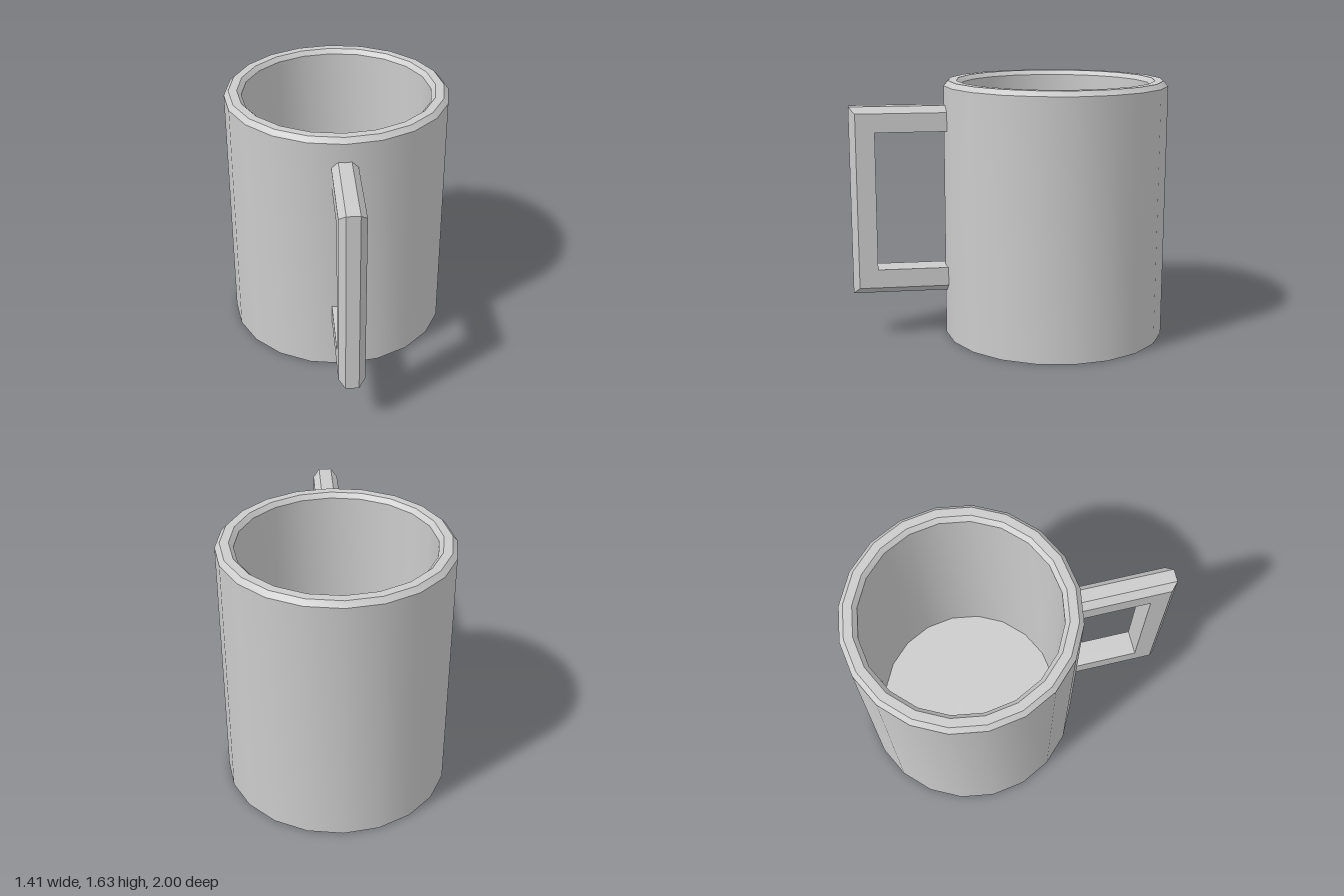
import * as THREE from 'three';
import { toCreasedNormals } from 'three/addons/utils/BufferGeometryUtils.js';

const material = new THREE.MeshStandardMaterial({ color: 0xcccccc });

// Hollow 20-sided cup with a chamfered rim
function makeCup() {
  const profile = [
    [0, 0], [0.705, 0], [0.705, 1.605], [0.676, 1.635],
    [0.623, 1.635], [0.596, 1.607], [0.596, 0.11], [0, 0.11],
  ].map(([r, y]) => new THREE.Vector2(r, y));
  const cup = new THREE.Mesh(toCreasedNormals(new THREE.LatheGeometry(profile, 20), 0.5), material);
  cup.name = 'cup';
  cup.position.z = -0.295;
  return cup;
}

// Square handle: a chamfered section swept round two mitred corners
function makeHandle() {
  const top = 1.486, bottom = 0.297, front = 1, root = 0.36, thick = 0.158;
  // Section points: x and depth below the outer face
  const section = [
    [-0.08, thick], [-0.08, 0.04], [-0.04, 0],
    [0.04, 0], [0.08, 0.04], [0.08, thick],
  ];
  const rings = [
    (d) => [top - d, root], (d) => [top - d, front - d],
    (d) => [bottom + d, front - d], (d) => [bottom + d, root],
  ].map((at) => section.map(([x, d]) => [x, ...at(d)]));

  const positions = [];
  const n = section.length;
  for (let i = 0; i < rings.length - 1; i++) {
    for (let j = 0; j < n; j++) {
      const k = (j + 1) % n;
      const a = rings[i][j], b = rings[i][k], c = rings[i + 1][k], d = rings[i + 1][j];
      positions.push(...a, ...d, ...b, ...b, ...d, ...c);
    }
  }
  const geometry = new THREE.BufferGeometry();
  geometry.setAttribute('position', new THREE.Float32BufferAttribute(positions, 3));
  geometry.computeVertexNormals();
  const handle = new THREE.Mesh(geometry, material);
  handle.name = 'handle';
  return handle;
}

export function createModel() {
  const mug = new THREE.Group();
  mug.name = 'mug';
  mug.add(makeCup(), makeHandle());
  return mug;
}
